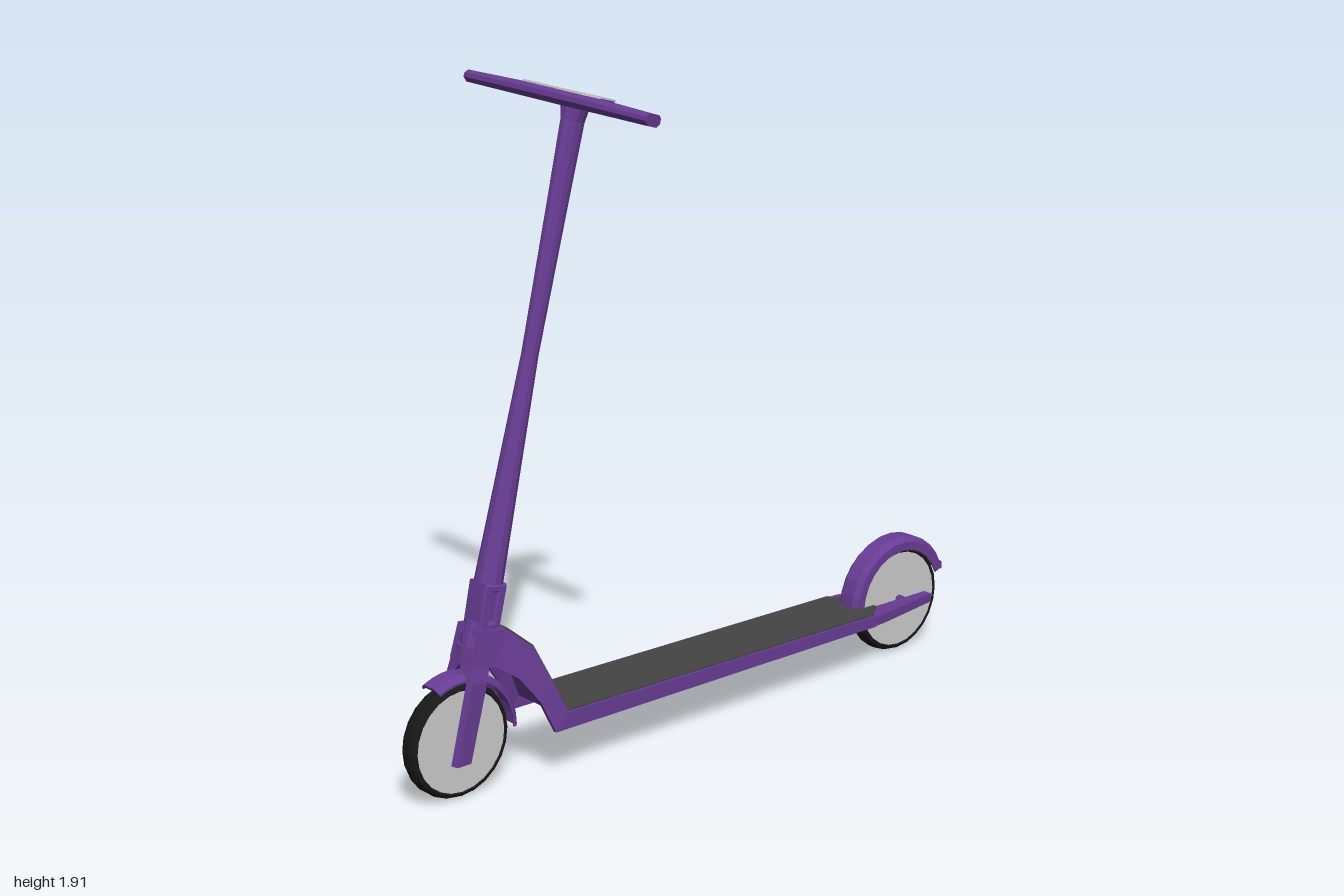
import * as THREE from 'three';

const mat = (color) => new THREE.MeshStandardMaterial({ color, flatShading: true, side: THREE.DoubleSide });

// Skin a list of equal-length closed rings of [x, y, z]; ends are capped by pairing opposite ring points
function loft(rings) {
  const n = rings[0].length, last = rings.length - 1, idx = [];
  const quad = (a, b, c, d) => idx.push(a, b, c, a, c, d);
  for (let r = 0; r < last; r++) {
    for (let i = 0; i < n; i++) {
      const j = (i + 1) % n;
      quad(r * n + i, r * n + j, (r + 1) * n + j, (r + 1) * n + i);
    }
  }
  for (let i = 0; i < n / 2 - 1; i++) {
    const e = last * n;
    quad(n - 1 - i, n - 2 - i, i + 1, i);
    quad(e + i, e + i + 1, e + n - 2 - i, e + n - 1 - i);
  }
  // Turn the faces outward if the enclosed volume comes out negative
  const pts = rings.flat().map((p) => new THREE.Vector3(...p));
  let volume = 0;
  for (let t = 0; t < idx.length; t += 3) {
    volume += pts[idx[t]].dot(pts[idx[t + 1]].clone().cross(pts[idx[t + 2]]));
  }
  if (volume < 0) idx.reverse();
  const g = new THREE.BufferGeometry().setFromPoints(pts);
  g.setIndex(idx);
  const flat = g.toNonIndexed();
  flat.computeVertexNormals();
  return flat;
}

// Oval ring around the raked steering axis; the rake moves z back as y rises
const axisZ = (y) => 0.715 - (y - 0.6) * 0.253;
function axisRing(y, rx, rz, sides = 12) {
  return Array.from({ length: sides }, (_, i) => {
    const a = ((i + 0.5) / sides) * Math.PI * 2, dz = Math.sin(a) * rz;
    return [Math.cos(a) * rx, y + dz * 0.25, axisZ(y) + dz];
  });
}

// Channel-shaped mudguard swept round a wheel, angles in degrees from the front
function fender(cz, cy, from, to, r0, r1) {
  const w = 0.039, rings = [];
  for (let i = 0; i <= 12; i++) {
    const a = THREE.MathUtils.degToRad(from + ((to - from) * i) / 12);
    const section = [[w, r0], [w, r1 - 0.014], [w * 0.6, r1], [-w * 0.6, r1], [-w, r1 - 0.014], [-w, r0],
      [-w + 0.005, r0], [-w + 0.005, r1 - 0.018], [-w * 0.55, r1 - 0.01], [w * 0.55, r1 - 0.01],
      [w - 0.005, r1 - 0.018], [w - 0.005, r0]];
    rings.push(section.map(([x, r]) => [x, cy + Math.sin(a) * r, cz + Math.cos(a) * r]));
  }
  return loft(rings);
}

export function createModel() {
  const root = new THREE.Group();
  const purple = mat(0x683c94), dark = mat(0x444444), black = mat(0x181818), grey = mat(0xcccccc);
  const add = (name, geometry, material, parent = root) => {
    const m = new THREE.Mesh(geometry, material);
    m.name = name;
    parent.add(m);
    return m;
  };

  // Wheels: rounded tyre with a flat disc
  const tyreProfile = [[0.143, -0.024], [0.15, -0.03], [0.159, -0.025], [0.165, -0.011], [0.165, 0.011],
    [0.159, 0.025], [0.15, 0.03], [0.143, 0.024]].map(([r, y]) => new THREE.Vector2(r, y));
  for (const [name, z] of [['frontWheel', 0.84], ['rearWheel', -0.818]]) {
    const wheel = new THREE.Group();
    wheel.name = name;
    wheel.position.set(0, 0.168, z);
    wheel.rotation.z = Math.PI / 2;
    add('tyre', new THREE.LatheGeometry(tyreProfile, 24), black, wheel);
    add('wheelDisc', new THREE.CylinderGeometry(0.147, 0.147, 0.054, 24), grey, wheel);
    add('axle', new THREE.CylinderGeometry(0.012, 0.012, 0.09, 10), purple, wheel);
    root.add(wheel);
  }
  add('frontFender', fender(0.84, 0.168, 64, 180, 0.172, 0.193), purple);
  add('rearFender', fender(-0.818, 0.168, 2, 160, 0.155, 0.195), purple);
  add('rearFenderLip', loft([[-0.968, 0.252, 0.035], [-1.0, 0.232, 0.03]].map(([z, y, w]) =>
    [[w, y - 0.012, z], [w, y + 0.012, z], [-w, y + 0.012, z], [-w, y - 0.012, z]])), purple);

  // Deck and rising neck: [top z, top y, bottom z, bottom y, half width]
  const stations = [
    [-0.645, 0.178, -0.645, 0.145, 0.11], [0.533, 0.196, 0.578, 0.148, 0.11], [0.58, 0.3, 0.62, 0.245, 0.096],
    [0.625, 0.4, 0.68, 0.325, 0.078], [0.7, 0.465, 0.745, 0.37, 0.058], [0.785, 0.48, 0.815, 0.385, 0.05]];
  add('deckShell', loft(stations.map(([tz, ty, bz, by, w]) => {
    const mix = 0.25, iz = tz + (bz - tz) * mix, iy = ty + (by - ty) * mix, v = w - 0.012;
    return [[w, by, bz], [w, ty, tz], [-w, ty, tz], [-w, by, bz], [-v, by, bz], [-v, iy, iz], [v, iy, iz], [v, by, bz]];
  })), purple);

  // Grip mat over deck and neck
  add('gripMat', loft(stations.slice(0, 5).map(([tz, ty, , , w], i) => {
    const oz = i === 0 ? 0 : -0.004, v = w - 0.009;
    return [[v, ty + 0.004, tz + oz], [-v, ty + 0.004, tz + oz], [-v, ty - 0.004, tz - oz], [v, ty - 0.004, tz - oz]];
  })), dark);

  // Rear arms holding the wheel, and the fork legs, mirrored
  for (const s of [1, -1]) {
    const side = s > 0 ? 'left' : 'right';
    add(side + 'RearArm', loft([[-0.6, 0.045, 0.11, 0.176], [-0.68, 0.042, 0.106, 0.175], [-0.915, 0.042, 0.07, 0.172]]
      .map(([z, a, b, y]) => [[s * a, 0.146, z], [s * b, 0.146, z], [s * b, y, z], [s * a, y, z]])), purple);
    add(side + 'MatCorner', loft([[-0.63, 0.1], [-0.7, 0.052]].map(([z, b]) =>
      [[s * 0.04, 0.17, z], [s * b, 0.17, z], [s * b, 0.18, z], [s * 0.04, 0.18, z]])), dark);
    add(side + 'ForkLeg', loft([[0.43, 0.775, 0, 0.036, 0.036], [0.38, 0.785, 0, 0.05, 0.036],
      [0.335, 0.797, 0.039, 0.059, 0.032], [0.11, 0.852, 0.034, 0.055, 0.029]]
      .map(([y, z, a, b, h]) => [[s * a, y, z - h], [s * b, y, z - h * 0.8], [s * b, y, z + h * 0.8], [s * a, y, z + h]])), purple);
  }

  // Steering head
  add('steeringHead', loft([axisRing(0.375, 0.044, 0.048), axisRing(0.44, 0.044, 0.046), axisRing(0.485, 0.04, 0.04)]), purple);

  // Folding joint with a slot right through it
  const joint = new THREE.Shape([[0.774, 0.475], [0.749, 0.594], [0.686, 0.582], [0.712, 0.475]].map((p) => new THREE.Vector2(...p)));
  joint.holes.push(new THREE.Path([[0.753, 0.484], [0.727, 0.484], [0.706, 0.572], [0.731, 0.577]].map((p) => new THREE.Vector2(...p))));
  const jointGeo = new THREE.ExtrudeGeometry(joint, { depth: 0.064, bevelThickness: 0.008, bevelSize: 0.005, bevelSegments: 1 });
  jointGeo.translate(0, 0, -0.032).rotateY(-Math.PI / 2);
  add('foldingJoint', jointGeo, purple);

  // Stem, waisted halfway up and flared under the handlebar
  add('stem', loft([[0.592, 0.041, 0.038], [0.75, 0.036, 0.034], [1.2, 0.022, 0.024], [1.6, 0.025, 0.031],
    [1.81, 0.027, 0.036], [1.855, 0.04, 0.038]].map((a) => axisRing(...a))), purple);

  // Handlebar assembly, tilted towards the rider
  const bar = new THREE.Group();
  bar.name = 'handlebarAssembly';
  bar.position.set(0, 1.883, 0.457);
  bar.rotation.x = -0.3;
  root.add(bar);
  const section = [[0.036, -0.006], [0.036, 0.008], [0.024, 0.02], [-0.026, 0.02], [-0.036, 0.01], [-0.036, -0.008],
    [-0.022, -0.02], [0.022, -0.02]];
  add('handlebar', loft([[-0.375, 0.82, -0.01], [-0.15, 0.95, -0.002], [0, 1, 0], [0.15, 0.95, -0.002], [0.375, 0.82, -0.01]]
    .map(([x, k, dz]) => section.map(([z, y]) => [x + Math.sign(x) * (Math.abs(x) > 0.3 ? z * 0.15 : 0), y * k + dz * 0.3, z * k + dz]))), purple);
  add('displayHousing', loft([[0.0, 0.05, -0.02], [-0.05, 0.042, -0.02], [-0.168, 0.034, -0.014]].map(([z, w, b]) =>
    [[w * 0.8, b, z], [w, 0.019, z], [-w, 0.019, z], [-w * 0.8, b, z]])), purple);

  // T-shaped display panel lying on top
  const half = [[0.125, 0.025], [0.145, -0.02], [0.055, -0.026], [0.044, -0.06], [0.035, -0.169]];
  const outline = [...half, ...half.map(([x, z]) => [-x, z]).reverse()];
  const panel = new THREE.ExtrudeGeometry(new THREE.Shape(outline.map(([x, z]) => new THREE.Vector2(x, -z))),
    { depth: 0.005, bevelEnabled: false });
  panel.rotateX(-Math.PI / 2).translate(0, 0.0185, 0);
  add('displayPanel', panel, grey, bar);
  bar.add(...root.children.filter((c) => c.name === 'handlebar' || c.name === 'displayHousing'));
  return root;
}
